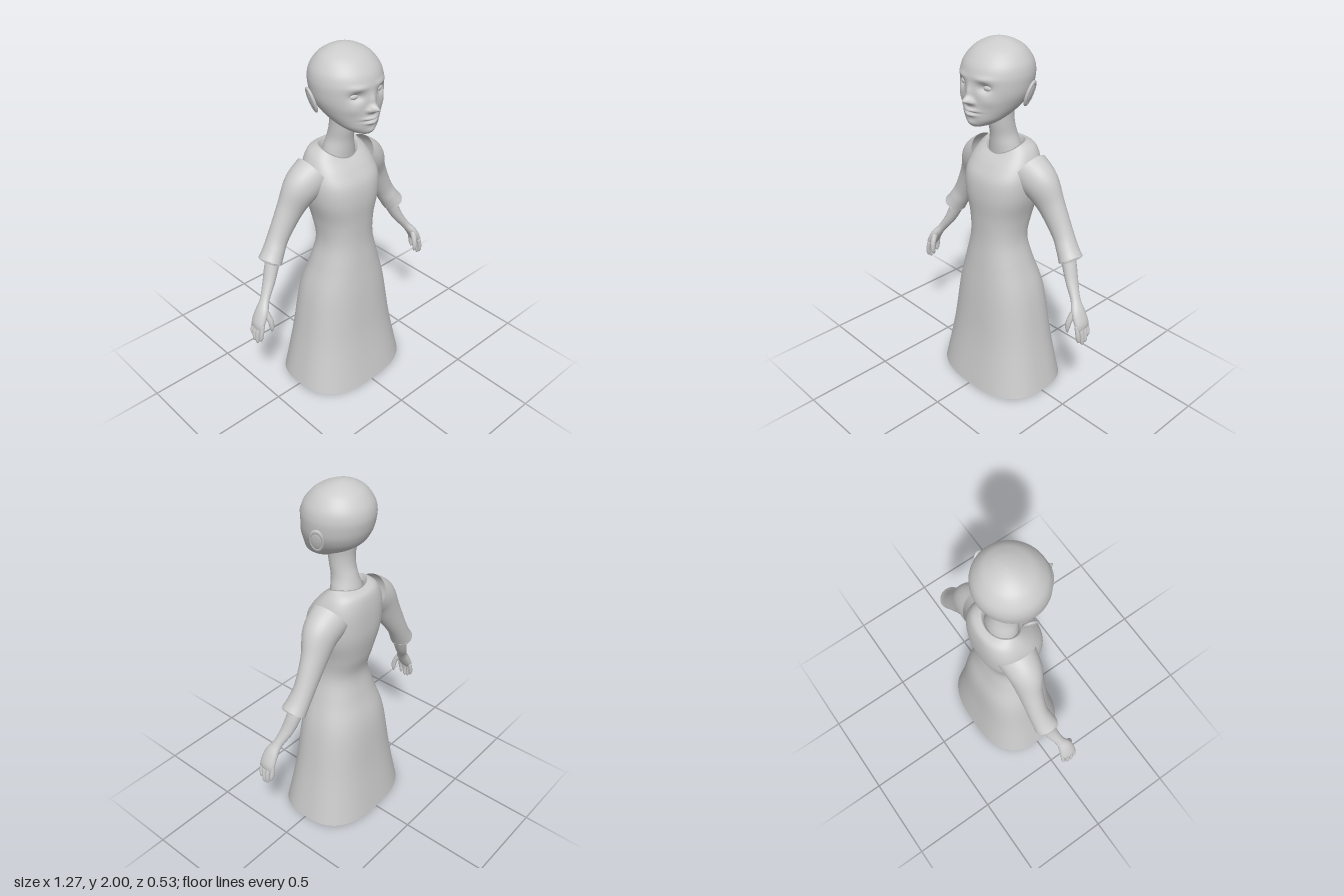
import * as THREE from 'three';

const mat = new THREE.MeshStandardMaterial({ color: 0xcccccc, side: THREE.DoubleSide });
const V = (x, y, z) => new THREE.Vector3(x, y, z);

function mesh(name, geo) {
  const m = new THREE.Mesh(geo, mat);
  m.name = name;
  return m;
}

// Smoothly resample a list of number rows
function smooth(rows, steps) {
  const out = [], last = rows.length - 1;
  for (let k = 0; k <= last * steps; k++) {
    const i = Math.min(Math.floor(k / steps), last - 1), t = k / steps - i;
    const [a, b, c, d] = [i - 1, i, i + 1, i + 2].map(j => rows[Math.max(0, Math.min(last, j))]);
    out.push(b.map((v, q) => v + 0.5 * t * (c[q] - a[q] + t * (2 * a[q] - 5 * v + 4 * c[q] - d[q]
      + t * (3 * (v - c[q]) + d[q] - a[q])))));
  }
  return out;
}

// Skin over rings of points, optionally closing both ends
function skin(rings, caps = false) {
  const n = rings[0].length, pos = [], idx = [];
  rings.forEach(r => r.forEach(p => pos.push(p.x, p.y, p.z)));
  for (let i = 0; i < rings.length - 1; i++) for (let j = 0; j < n; j++) {
    const a = i * n + j, b = i * n + (j + 1) % n;
    idx.push(a, b, a + n, b, b + n, a + n);
  }
  if (caps) for (const end of [0, rings.length - 1]) {
    const c = V(0, 0, 0);
    rings[end].forEach(p => c.addScaledVector(p, 1 / n));
    const ci = pos.length / 3;
    pos.push(c.x, c.y, c.z);
    for (let j = 0; j < n; j++) {
      const a = end * n + j, b = end * n + (j + 1) % n;
      end ? idx.push(a, b, ci) : idx.push(b, a, ci);
    }
  }
  const g = new THREE.BufferGeometry();
  g.setAttribute('position', new THREE.Float32BufferAttribute(pos, 3));
  g.setIndex(idx);
  g.computeVertexNormals();
  return g;
}

// Upright ring: height, half width, front z, back z, squareness, tilt, rise at the sides
function level([y, w, zf, zb, p = 2, tilt = 0, rise = 0], n = 72) {
  const pw = v => Math.sign(v) * Math.abs(v) ** (2 / p);
  return Array.from({ length: n }, (_, j) => {
    const a = j / n * Math.PI * 2, cx = pw(Math.cos(a)), z = -pw(Math.sin(a)) * (zf - zb) / 2;
    return V(w * cx, y + tilt * z + rise * cx * cx, (zf + zb) / 2 + z);
  });
}

// Limb along rows of [x, y, z, radius in the front plane, radius in depth]
function limb(rows, s, steps = 6, n = 28, caps = true) {
  const pts = smooth(rows.map(([x, ...r]) => [x * s, ...r]), steps);
  return skin(pts.map((q, i) => {
    const a = pts[Math.max(0, i - 1)], b = pts[Math.min(pts.length - 1, i + 1)];
    const t = V(b[0] - a[0], b[1] - a[1], b[2] - a[2]).normalize();
    const u = V(0, 0, 1).cross(t).normalize(), v = t.clone().cross(u);
    return Array.from({ length: n }, (_, j) => {
      const w = j / n * Math.PI * 2;
      return V(q[0], q[1], q[2]).addScaledVector(u, q[3] * Math.cos(w)).addScaledVector(v, q[4] * Math.sin(w));
    });
  }), caps);
}

function buildDress(g) {
  const rows = [
    [0.002, 0.35, 0.26, -0.265, 2.7, 0, 0.018], [0.3, 0.295, 0.213, -0.225, 2.6, 0, 0],
    [0.6, 0.245, 0.187, -0.195, 2.5, 0, 0], [0.78, 0.192, 0.168, -0.145, 2.4, 0, 0],
    [0.92, 0.157, 0.155, -0.12, 2.3, 0, 0], [1.05, 0.165, 0.157, -0.153, 2.3, 0, 0],
    [1.18, 0.197, 0.165, -0.18, 2.4, 0, 0], [1.28, 0.203, 0.152, -0.185, 2.5, 0, 0],
    [1.36, 0.19, 0.112, -0.18, 2.5, -0.08, 0], [1.41, 0.16, 0.083, -0.163, 2.3, -0.22, 0.012],
    [1.43, 0.12, 0.062, -0.125, 2, -0.3, 0.03]];
  g.add(mesh('dress', skin(smooth(rows, 6).map(r => level(r)))));

  // Thick hem and inside of the skirt
  const inset = ([y, w, f, b, ...r]) => [y, w - 0.045, f - 0.045, b + 0.045, ...r];
  g.add(mesh('hem', skin([level(inset(rows[0])), level(rows[0])])));
  g.add(mesh('lining', skin(smooth(rows.slice(0, 8).map(inset), 4).reverse().map(r => level(r)))));

  // Folded neckline
  const top = rows[rows.length - 1];
  g.add(mesh('neckline', skin([level(top), level([1.432, 0.112, 0.055, -0.118, 2, -0.3, 0.03]),
    level([1.40, 0.10, 0.045, -0.108, 2, -0.3, 0.03])])));
}

function buildHead(g) {
  g.add(mesh('neck', skin(smooth([
    [1.35, 0.11, 0.045, -0.12], [1.44, 0.088, 0.052, -0.105], [1.5, 0.07, 0.057, -0.088],
    [1.56, 0.066, 0.07, -0.072], [1.62, 0.066, 0.08, -0.07], [1.68, 0.07, 0.08, -0.08]], 5)
    .map(r => level(r, 40)), true)));

  const rings = smooth([
    [1.583, 0.025, 0.185, 0.09], [1.596, 0.06, 0.203, 0.05], [1.625, 0.1, 0.212, 0.0],
    [1.66, 0.13, 0.214, -0.065], [1.7, 0.155, 0.214, -0.115], [1.75, 0.177, 0.213, -0.145],
    [1.8, 0.186, 0.213, -0.16], [1.85, 0.187, 0.208, -0.165], [1.9, 0.173, 0.187, -0.152],
    [1.95, 0.135, 0.14, -0.115], [1.98, 0.087, 0.085, -0.07], [1.995, 0.042, 0.04, -0.03],
    [2.0, 0.004, 0.006, 0.0]], 8).map(r => level(r, 112));

  // Face relief: x, y, height, spread in x, spread in y
  const relief = [
    [0, 1.728, 0.045, 0.02, 0.018], [0, 1.765, 0.016, 0.017, 0.032],
    [0.026, 1.72, 0.012, 0.012, 0.011], [0.078, 1.795, -0.024, 0.032, 0.022],
    [0.075, 1.838, 0.007, 0.045, 0.014], [0.1, 1.73, 0.006, 0.035, 0.03],
    [0, 1.678, 0.016, 0.042, 0.009], [0, 1.668, -0.010, 0.05, 0.004],
    [0, 1.655, 0.015, 0.034, 0.009], [0, 1.61, 0.006, 0.03, 0.014]];
  const bumps = relief.flatMap(b => b[0] ? [b, [-b[0], ...b.slice(1)]] : [b]);
  rings.flat().forEach(p => {
    if (p.z < 0.06) return;
    const fade = Math.min(1, (p.z - 0.06) / 0.06);
    const { x, y } = p;
    for (const [bx, by, h, sx, sy] of bumps)
      p.z += fade * h * Math.exp(-(((x - bx) / sx) ** 2) - ((y - by) / sy) ** 2);
  });
  g.add(mesh('head', skin(rings, true)));

  for (const s of [1, -1]) {
    const eye = mesh('eye', new THREE.SphereGeometry(0.034, 28, 18));
    eye.scale.set(1.1, 0.68, 1);
    eye.position.set(0.077 * s, 1.795, 0.149);
    g.add(eye);

    // Ear: bowl with a rolled rim
    const ear = new THREE.Group();
    ear.name = 'ear';
    const bowl = mesh('earBowl', new THREE.SphereGeometry(1, 24, 16));
    bowl.scale.set(0.012, 0.058, 0.032);
    const rim = mesh('earRim', new THREE.TorusGeometry(0.032, 0.008, 10, 32));
    rim.rotation.y = Math.PI / 2;
    rim.scale.set(1, 1.75, 1);
    ear.add(bowl, rim);
    ear.position.set(0.194 * s, 1.757, -0.006);
    ear.rotation.set(-0.15, s * 0.35, -s * 0.25);
    g.add(ear);
  }
}

function buildArm(s) {
  const g = new THREE.Group();
  g.name = s > 0 ? 'leftArm' : 'rightArm';
  g.add(mesh('sleeve', limb([
    [0.155, 1.328, -0.05, 0.108, 0.105], [0.232, 1.272, -0.055, 0.105, 0.092],
    [0.3, 1.165, -0.07, 0.079, 0.066], [0.38, 1.03, -0.075, 0.059, 0.056],
    [0.425, 0.955, -0.068, 0.057, 0.061], [0.455, 0.91, -0.062, 0.062, 0.067]], s, 6, 32, false)));
  g.add(mesh('cuffEdge', limb([
    [0.455, 0.91, -0.062, 0.062, 0.067], [0.456, 0.908, -0.062, 0.046, 0.05],
    [0.42, 0.96, -0.067, 0.042, 0.046]], s, 1, 32, false)));
  g.add(mesh('forearm', limb([
    [0.40, 0.99, -0.072, 0.04, 0.042], [0.445, 0.89, -0.06, 0.037, 0.041],
    [0.487, 0.80, -0.042, 0.03, 0.036], [0.537, 0.725, -0.018, 0.023, 0.028],
    [0.572, 0.675, -0.002, 0.026, 0.042], [0.602, 0.62, 0.002, 0.023, 0.047],
    [0.614, 0.59, 0.002, 0.014, 0.04]], s)));

  // Four fingers, then the thumb
  const tips = [0.515, 0.497, 0.502, 0.525];
  tips.forEach((y, i) => {
    const z = 0.038 - i * 0.024, x = 0.622 - 0.006 * Math.abs(i - 1.5);
    g.add(mesh('finger', limb([
      [0.602, 0.615, z, 0.012, 0.012], [x, 0.565, z * 1.05, 0.0125, 0.012],
      [x + 0.004, y + 0.015, z * 0.95, 0.011, 0.0105], [x + 0.002, y, z * 0.9, 0.004, 0.004]], s, 4, 12)));
  });
  g.add(mesh('thumb', limb([
    [0.565, 0.68, 0.018, 0.017, 0.018], [0.556, 0.63, 0.045, 0.016, 0.015],
    [0.552, 0.585, 0.052, 0.012, 0.012], [0.552, 0.558, 0.05, 0.004, 0.004]], s, 4, 12)));
  return g;
}

export function createModel() {
  const model = new THREE.Group();
  model.name = 'figureInDress';
  buildDress(model);
  buildHead(model);
  for (const s of [1, -1]) model.add(buildArm(s));
  return model;
}
